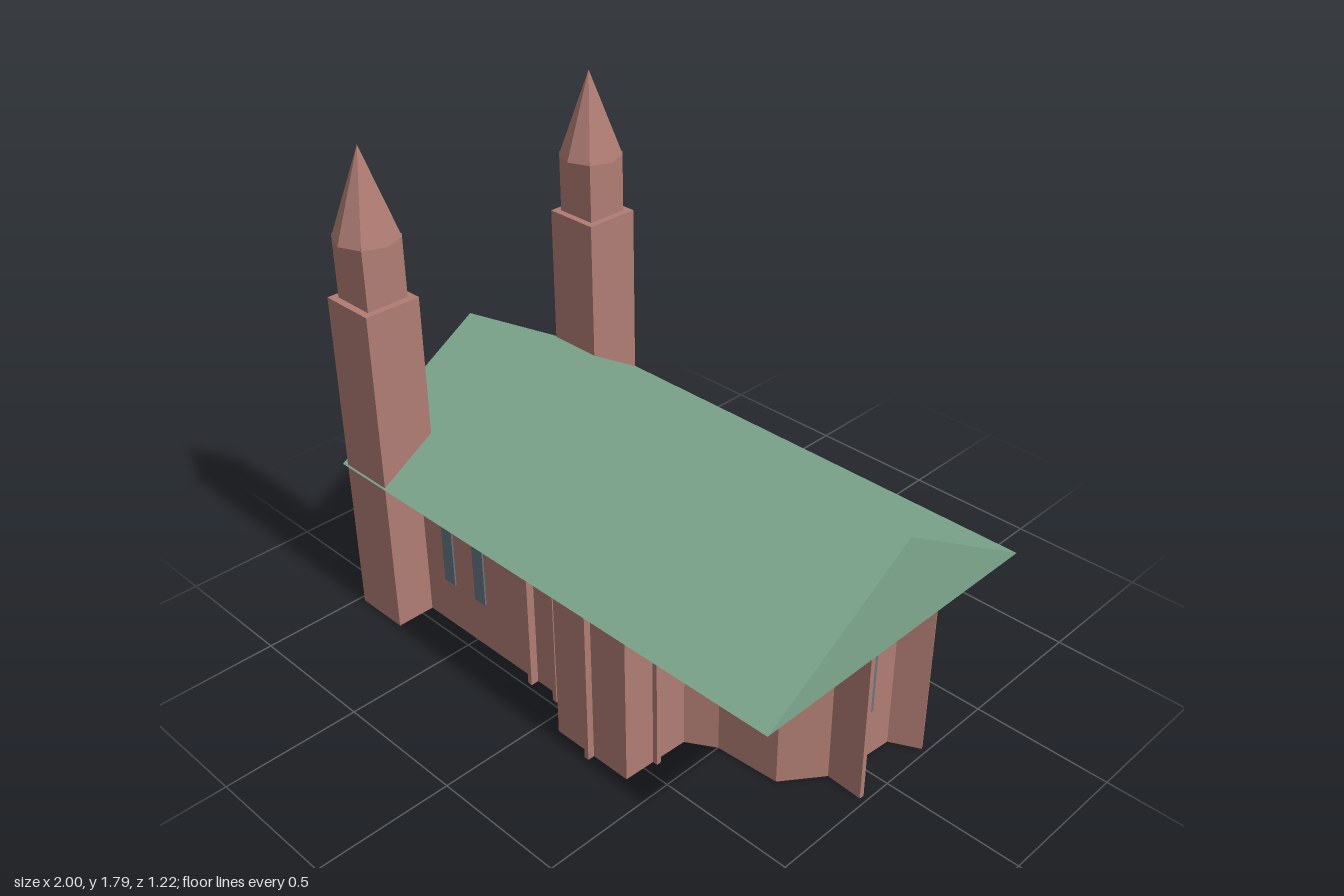
import * as THREE from 'three';

export function createModel() {
  const model = new THREE.Group();
  const mat = (name, color) => {
    const m = new THREE.MeshStandardMaterial({ color });
    m.name = name;
    return m;
  };
  const brick = mat('brick', 0xb07d74);
  const copper = mat('greenRoof', 0x7fa990);
  const glass = mat('windowGlass', 0x66757f);
  brick.flatShading = true;

  const add = (name, geometry, material, parent = model) => {
    const mesh = new THREE.Mesh(geometry, material);
    mesh.name = name;
    parent.add(mesh);
    return mesh;
  };
  const box = (name, w, h, d, x, y, z, material = brick, parent = model) => {
    const mesh = add(name, new THREE.BoxGeometry(w, h, d), material, parent);
    mesh.position.set(x, y, z);
    return mesh;
  };

  // Walls: floor plan as [x, z], extruded upwards
  const EAVE = 0.597;
  const plan = [
    [-0.965, 0.5], [-0.8, 0.5], [-0.8, 0.455], [0.065, 0.455], [0.065, 0.575], [0.39, 0.575],
    [0.4, 0.32], [0.5, 0.26], [0.74, 0.245], [0.86, 0.085],
    [0.88, -0.165], [0.76, -0.33], [0.49, -0.375], [0.41, -0.475],
    [0.07, -0.475], [0.07, -0.58], [-0.965, -0.58],
  ];
  const shape = new THREE.Shape(plan.map(([x, z]) => new THREE.Vector2(x, -z)));
  const walls = new THREE.ExtrudeGeometry(shape, { depth: EAVE, bevelEnabled: false });
  walls.rotateX(-Math.PI / 2);
  add('walls', walls, brick);

  // Buttresses: x, z of the wall, outward angle (0 = +x, 90 = +z), projection
  const buttress = (x, z, degrees, out) => {
    const a = THREE.MathUtils.degToRad(degrees);
    const b = box('buttress', out * 2, EAVE, 0.018, x, EAVE / 2, z);
    b.rotation.y = -a;
  };
  for (let i = 0; i < 6; i++) buttress(0.055 - i * 0.13, -0.58, -90, 0.022);
  for (const x of [-0.183, -0.055]) buttress(x, 0.455, 90, 0.03);
  buttress(0.228, 0.575, 90, 0.025);
  for (const z of [-0.22, -0.08, 0.08, 0.22]) buttress(-0.965, z, 180, 0.022);
  buttress(0.395, 0.45, 0, 0.018);
  buttress(0.865, 0.1, 3, 0.115);
  buttress(0.88, -0.165, -27, 0.11);
  buttress(0.76, -0.33, -55, 0.07);
  buttress(0.41, -0.475, -50, 0.09);

  // Gabled roof
  const gable = new THREE.Shape([
    new THREE.Vector2(-0.61, EAVE), new THREE.Vector2(0.61, EAVE), new THREE.Vector2(0, 0.97),
  ]);
  const roof = new THREE.ExtrudeGeometry(gable, { depth: 2, bevelEnabled: false });
  roof.translate(0, 0, -1);
  roof.rotateY(Math.PI / 2);
  add('roof', roof, copper);

  // Pair of towers
  for (const side of [1, -1]) {
    const tower = new THREE.Group();
    tower.name = side > 0 ? 'frontTower' : 'backTower';
    tower.position.set(-0.87, 0, side * 0.497);
    box('towerShaft', 0.214, 1.26, 0.214, 0, 0.63, 0, brick, tower);
    box('belfry', 0.162, 0.24, 0.162, 0, 1.37, 0, brick, tower);
    const spire = add('spire', new THREE.ConeGeometry(0.115, 0.315, 8), brick, tower);
    spire.position.y = 1.6375;
    box('towerWindow', 0.008, 0.105, 0.06, -0.109, 1.05, 0, glass, tower);
    model.add(tower);
  }

  // Tall windows
  const H = 0.24, Y = 0.31;
  for (const x of [-0.63, -0.463]) box('frontWindow', 0.056, H, 0.008, x, Y, 0.457, glass);
  box('backWindow', 0.066, H, 0.008, 0.27, Y, -0.477, glass);
  const end = box('endWindow', 0.008, H, 0.06, 0.8735, Y, -0.035, glass);
  end.rotation.y = Math.atan2(0.02, 0.25);

  return model;
}
